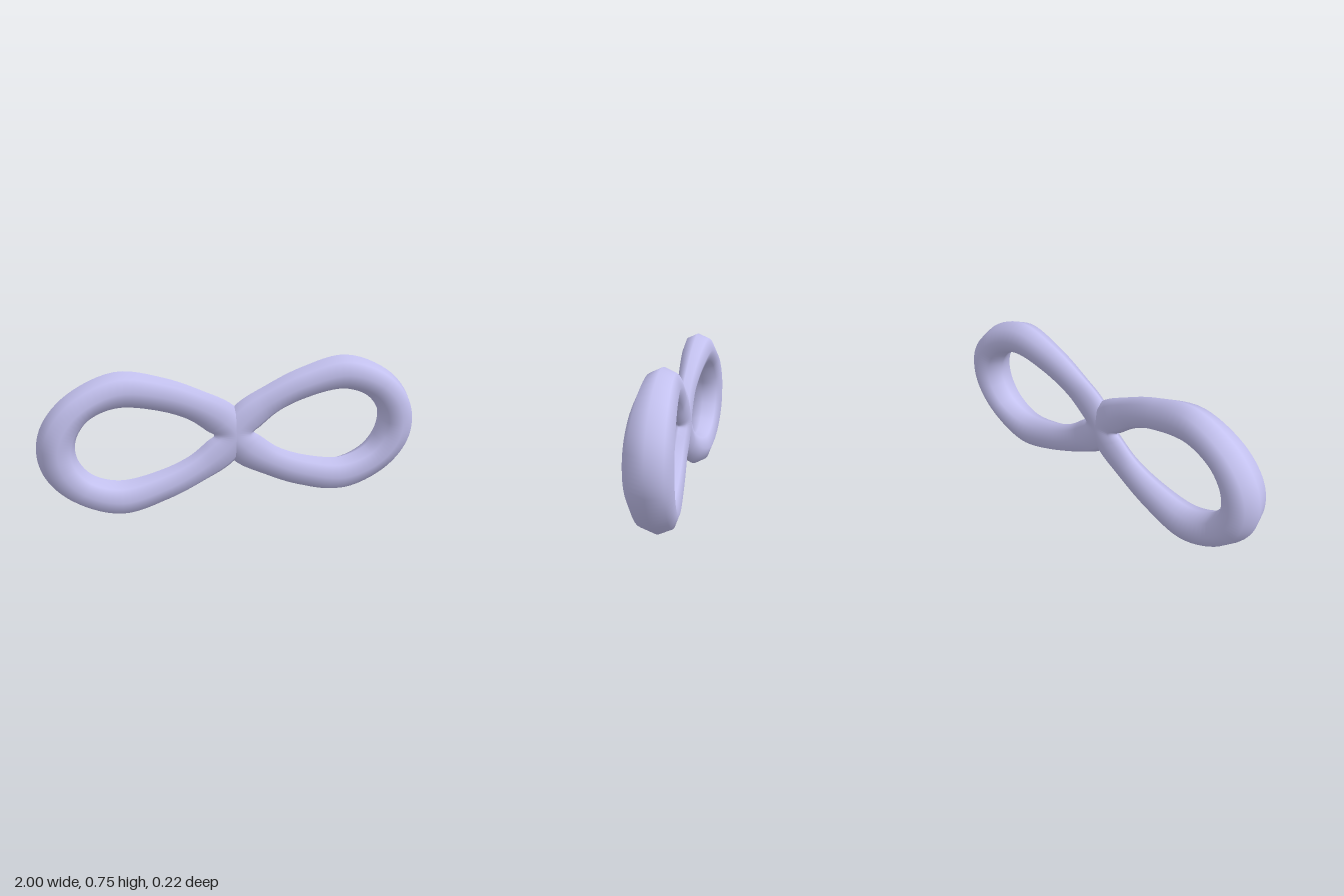
import * as THREE from 'three';

const CENTRE_Y = 0.377;
const SIDES = 8;
const RINGS = 84;

// Upper half of one loop: outer edge x, y and inner edge x, y at each station.
const STATIONS = [
  [-0.1, 0, 0.107, 0],
  [0.0, 0.15, 0.14, 0.025],
  [0.17, 0.247, 0.24, 0.1],
  [0.36, 0.328, 0.4, 0.162],
  [0.6, 0.377, 0.6, 0.192],
  [0.84, 0.28, 0.735, 0.145],
  [0.966, 0.14, 0.797, 0.07],
  [1.0, 0, 0.813, 0],
];

// Closed edge curve: upper half followed by its mirror below.
function edgeCurve(column) {
  const upper = STATIONS.map((s) => new THREE.Vector3(s[column], s[column + 1], 0));
  const lower = upper.slice(1, -1).reverse().map((p) => new THREE.Vector3(p.x, -p.y, 0));
  return new THREE.CatmullRomCurve3([...upper, ...lower], true);
}

// Eight-sided rings between the two edges; depth grows away from the crossing.
function loopGeometry() {
  const outer = edgeCurve(0);
  const inner = edgeCurve(2);
  const positions = [];
  const indices = [];
  for (let i = 0; i < RINGS; i++) {
    const a = outer.getPoint(i / RINGS);
    const b = inner.getPoint(i / RINGS);
    const mid = a.clone().add(b).multiplyScalar(0.5);
    const half = a.clone().sub(b).multiplyScalar(0.5);
    const depth = 0.05 + 0.06 * THREE.MathUtils.clamp((mid.x - 0.15) / 0.75, 0, 1);
    for (let j = 0; j < SIDES; j++) {
      const angle = (j / SIDES) * Math.PI * 2;
      const c = Math.cos(angle);
      positions.push(mid.x + half.x * c, mid.y + half.y * c, depth * Math.sin(angle));

      const k = (j + 1) % SIDES;
      const here = i * SIDES;
      const next = ((i + 1) % RINGS) * SIDES;
      indices.push(here + j, here + k, next + j, here + k, next + k, next + j);
    }
  }
  const geometry = new THREE.BufferGeometry();
  geometry.setAttribute('position', new THREE.Float32BufferAttribute(positions, 3));
  geometry.setIndex(indices);
  geometry.computeVertexNormals();
  return geometry;
}

export function createModel() {
  const group = new THREE.Group();
  group.name = 'infinityRing';
  const geometry = loopGeometry();
  const material = new THREE.MeshStandardMaterial({ color: 0xc4c2f0 });

  // Two teardrop loops meeting at the centre.
  for (const [name, turn] of [['leftLoop', 0], ['rightLoop', Math.PI]]) {
    const loop = new THREE.Mesh(geometry, material);
    loop.name = name;
    loop.position.y = CENTRE_Y;
    loop.rotation.y = turn;
    group.add(loop);
  }
  return group;
}
